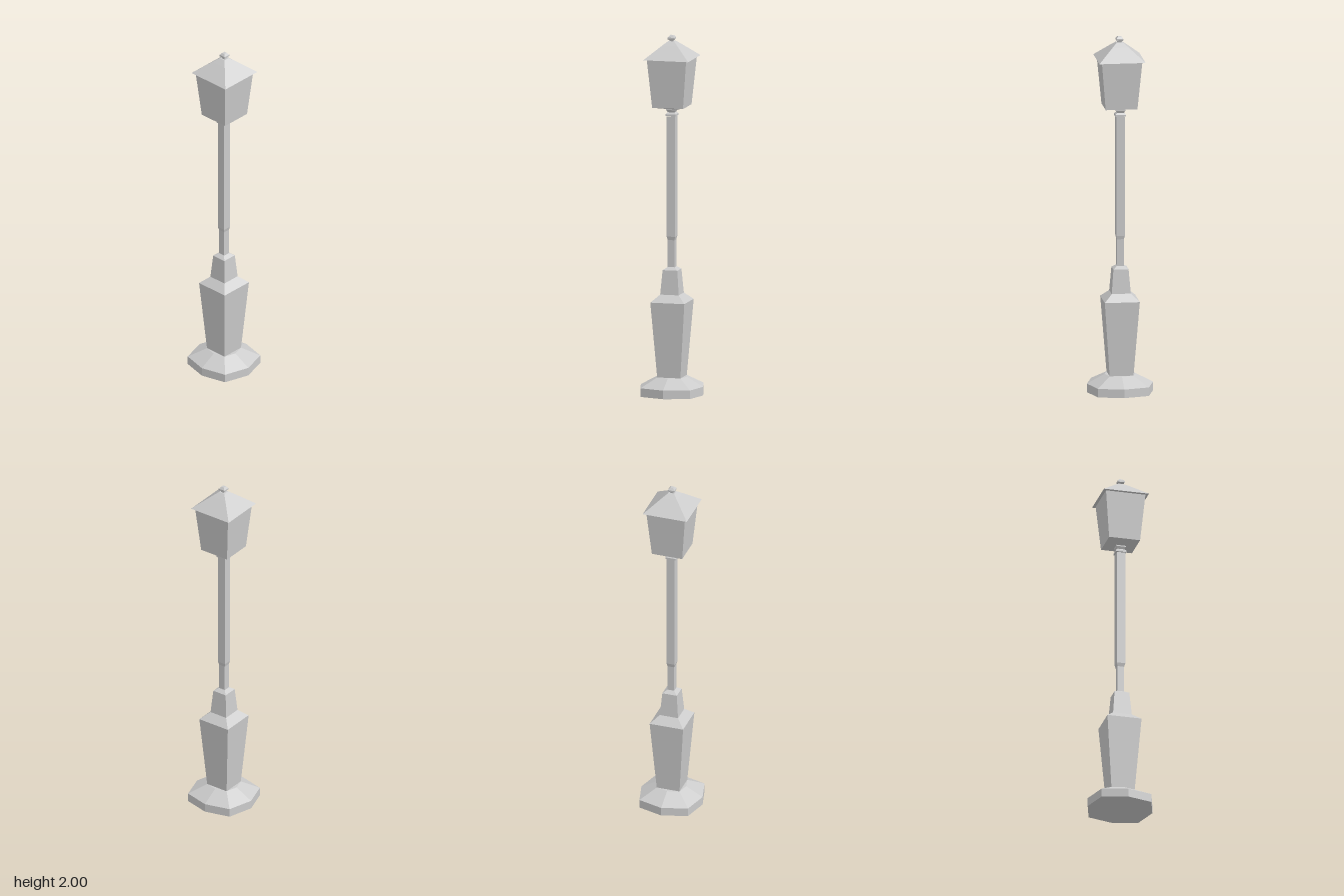
import * as THREE from 'three';

const material = new THREE.MeshStandardMaterial({ color: 0xcccccc, flatShading: true });

// Square part turned from a profile of [half width, height], bottom to top
function squarePart(name, profile, x = 0) {
  const points = profile.map(([half, y]) => new THREE.Vector2(half * Math.SQRT2, y));
  const mesh = new THREE.Mesh(new THREE.LatheGeometry(points, 4, Math.PI / 4), material);
  mesh.name = name;
  mesh.position.x = x;
  return mesh;
}

// Eight-sided foot whose diagonal corners are pushed out
function makeFoot() {
  const profile = [[0, 0], [0.182, 0], [0.182, 0.048], [0.085, 0.1], [0, 0.1]];
  const geometry = new THREE.LatheGeometry(profile.map(([r, y]) => new THREE.Vector2(r, y)), 8);
  const pos = geometry.attributes.position;
  for (let i = 0; i < pos.count; i++) {
    const x = pos.getX(i), z = pos.getZ(i);
    const diagonal = Math.abs(x) > 0.01 && Math.abs(z) > 0.01;
    const s = diagonal ? 1.097 : 1;
    pos.setX(i, x * s * (diagonal ? 1 : 1.01));
    pos.setZ(i, z * s * (diagonal ? 1 : 0.975));
  }
  geometry.computeVertexNormals();
  const mesh = new THREE.Mesh(geometry, material);
  mesh.name = 'foot';
  return mesh;
}

export function createModel() {
  const group = new THREE.Group();
  group.name = 'streetLamp';
  const lampX = 0.003; // the lantern sits a touch off the post axis

  group.add(
    makeFoot(),
    // Flared pedestal with a stepped shoulder
    squarePart('pedestal', [
      [0.066, 0.098], [0.097, 0.52], [0.053, 0.56], [0.042, 0.695], [0.02, 0.71], [0, 0.71],
    ]),
    squarePart('pole', [[0.019, 0.7], [0.019, 0.86], [0.024, 0.88], [0.024, 1.55]]),
    // Collar between pole and lantern
    squarePart('collar', [
      [0, 1.548], [0.029, 1.552], [0.029, 1.562], [0.019, 1.572], [0.026, 1.585], [0.026, 1.598],
    ]),
    // Lantern with a shallow pointed bottom
    squarePart('lantern', [[0, 1.588], [0.02, 1.59], [0.088, 1.605], [0.112, 1.873]], lampX),
    squarePart('roof', [
      [0, 1.872], [0.128, 1.874], [0.045, 1.945], [0.018, 1.967], [0, 1.967],
    ], lampX),
    squarePart('finial', [
      [0.01, 1.96], [0.01, 1.972], [0.019, 1.979], [0.019, 1.988], [0.009, 2], [0, 2],
    ], lampX),
  );
  return group;
}
